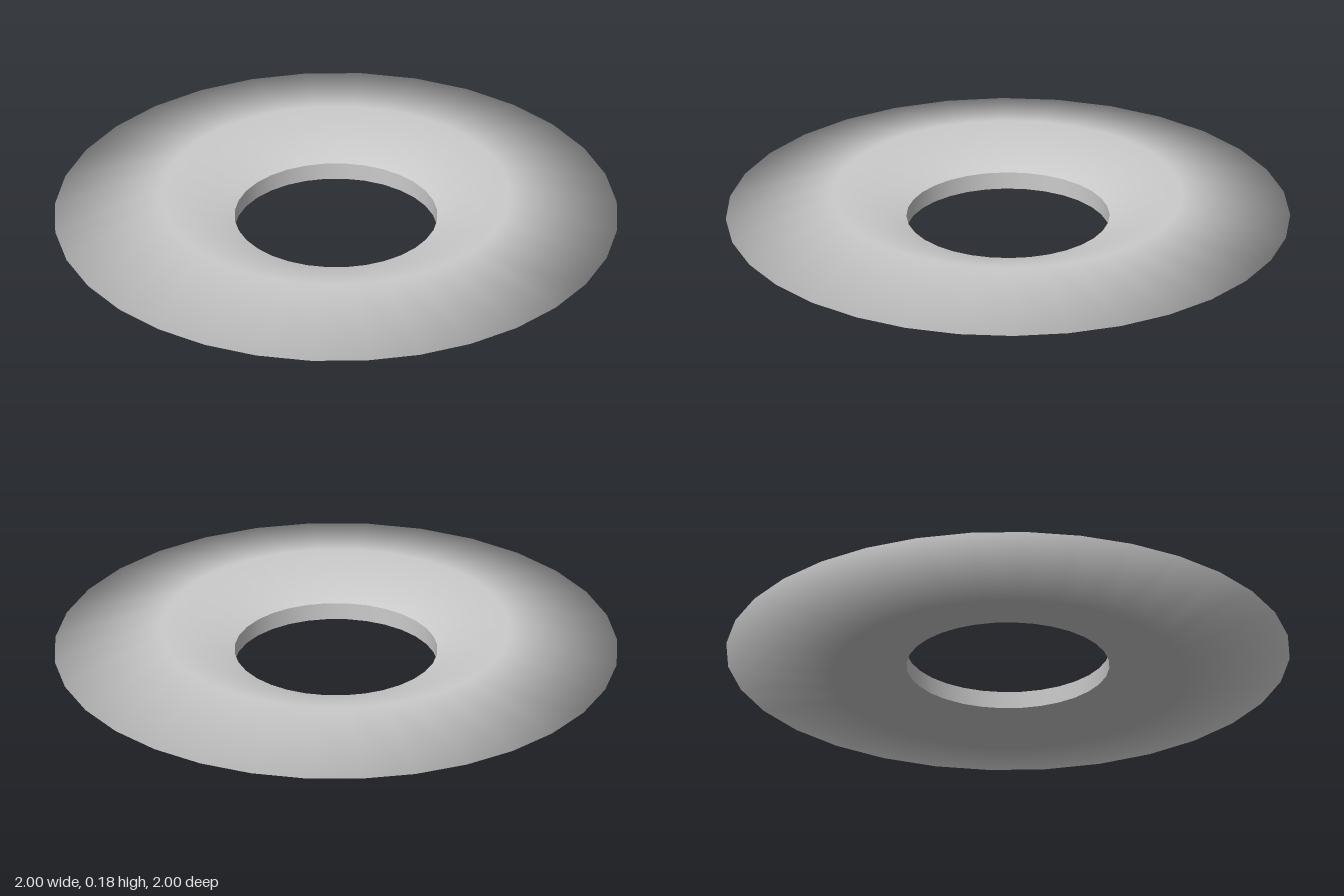
import * as THREE from 'three';

const SEGMENTS = 32;

// Revolve a short [radius, height] profile around the y axis
function revolve(name, profile, material) {
  const points = profile.map(([r, y]) => new THREE.Vector2(r, y));
  const mesh = new THREE.Mesh(new THREE.LatheGeometry(points, SEGMENTS), material);
  mesh.name = name;
  return mesh;
}

export function createModel() {
  const group = new THREE.Group();
  group.name = 'ringDisc';
  const material = new THREE.MeshStandardMaterial({ color: 0xcccccc, side: THREE.DoubleSide });

  const holeBottom = [0.36, 0.037];
  const holeTop = [0.36, 0.1];

  // Smooth disc skin: dished underside, sharp outer rim, dished top
  group.add(revolve('discBody', [
    holeBottom,
    [0.62, 0.002],
    [1, 0.093],
    [0.62, 0.182],
    holeTop,
  ], material));

  // Inner wall of the hole, with hard edges against the skin
  group.add(revolve('holeWall', [holeTop, holeBottom], material));

  return group;
}
